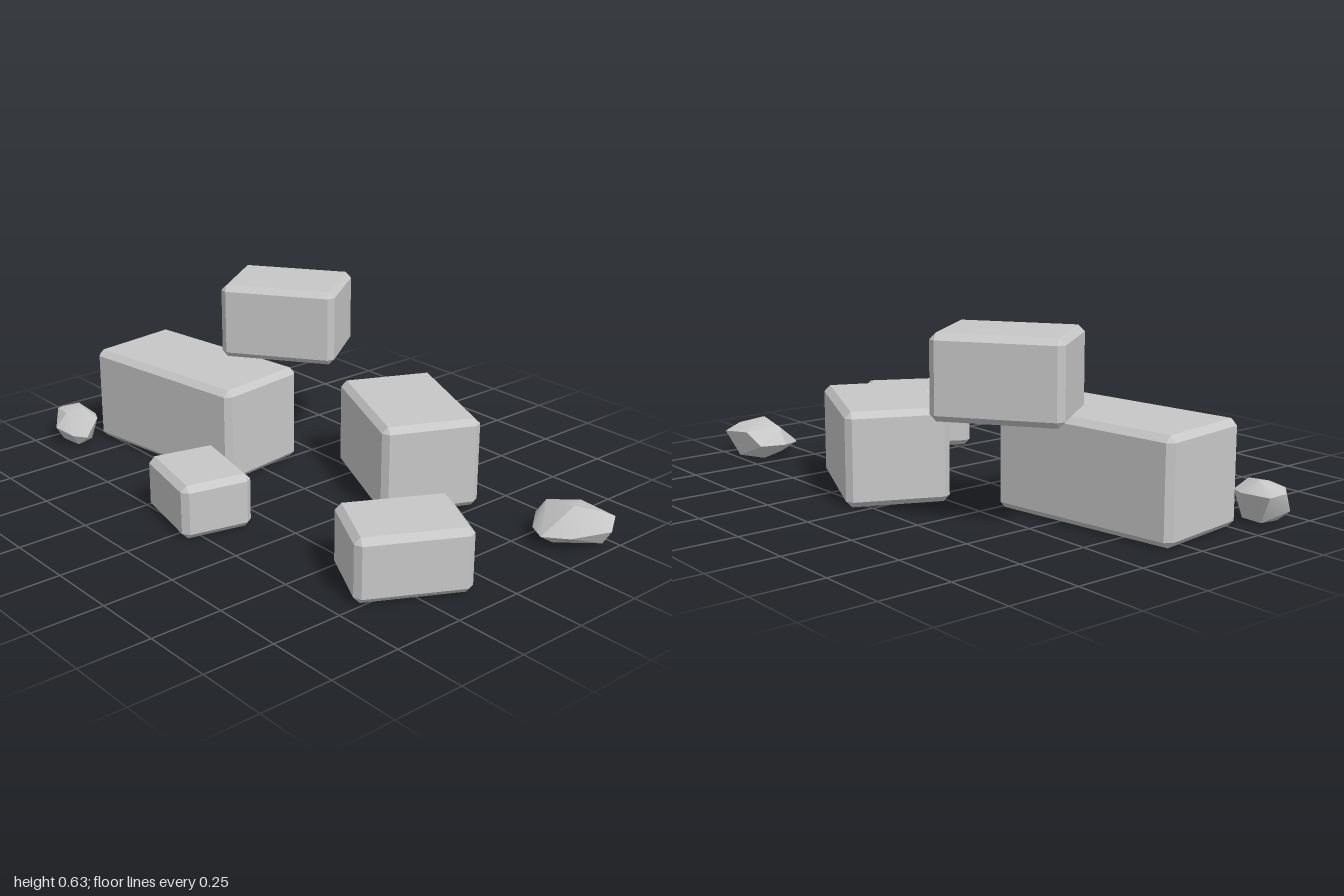
import * as THREE from 'three';
import { ConvexGeometry } from 'three/addons/geometries/ConvexGeometry.js';
import { toCreasedNormals } from 'three/addons/utils/BufferGeometryUtils.js';

const stone = new THREE.MeshStandardMaterial({ color: 0xc7c7c7 });
stone.name = 'grey stone';

const CHAMFER = 0.021;

// Box with every edge cut by a flat chamfer, standing on y = 0
function chamferedBox(w, h, d) {
  const half = [w / 2, h / 2, d / 2];
  const points = [];
  for (const sx of [-1, 1]) for (const sy of [-1, 1]) for (const sz of [-1, 1]) {
    for (let face = 0; face < 3; face++) {
      // each corner becomes three points, one on each adjoining face
      const [x, y, z] = half.map((v, axis) => (axis === face ? v : v - CHAMFER));
      points.push(new THREE.Vector3(sx * x, sy * y + h / 2, sz * z));
    }
  }
  return new ConvexGeometry(points);
}

// Faceted boulder wrapped around a few points
function boulder(points) {
  const hull = new ConvexGeometry(points.map((p) => new THREE.Vector3(...p)));
  return toCreasedNormals(hull, 0.55);
}

export function createModel() {
  const group = new THREE.Group();
  group.name = 'stoneBlocks';

  const add = (name, geometry) => {
    const mesh = new THREE.Mesh(geometry, stone);
    mesh.name = name;
    group.add(mesh);
    return mesh;
  };

  // Cut blocks: name, size, base position, turn about y
  const blocks = [
    ['largeBlock', [0.70, 0.348, 0.363], [-0.567, 0, 0.052], 0.14],
    ['stackedBlock', [0.425, 0.275, 0.314], [-0.422, 0.352, -0.273], 0.62],
    ['backBlock', [0.505, 0.322, 0.35], [0.196, 0, -0.31], -0.43],
    ['smallFrontBlock', [0.313, 0.19, 0.25], [-0.059, 0, 0.413], -0.22],
    ['sideBlock', [0.288, 0.219, 0.377], [0.704, 0, 0.198], -0.49],
  ];
  for (const [name, size, position, turn] of blocks) {
    const mesh = add(name, chamferedBox(...size));
    mesh.position.set(...position);
    mesh.rotation.y = turn;
  }

  // Loose rubble at either end
  add('frontBoulder', boulder([
    [-1.0, 0.11, 0.375], [-0.98, 0.10, 0.325], [-0.875, 0.10, 0.305], [-0.83, 0.10, 0.325],
    [-0.812, 0.04, 0.385], [-0.84, 0.05, 0.43], [-0.91, 0.07, 0.458], [-1.0, 0.05, 0.40],
    [-0.915, 0.143, 0.35], [-0.86, 0.138, 0.36], [-0.97, 0.12, 0.41], [-0.895, 0.125, 0.42],
    [-0.94, 0.005, 0.41], [-0.85, 0.005, 0.40], [-0.93, 0.005, 0.345], [-0.86, 0.01, 0.335],
  ]));
  add('backBoulder', boulder([
    [0.733, 0.06, -0.385], [0.76, 0.06, -0.475], [0.83, 0.105, -0.495], [0.965, 0.09, -0.508],
    [0.995, 0.06, -0.455], [0.93, 0.05, -0.33], [0.85, 0.045, -0.277], [0.79, 0.05, -0.305],
    [0.775, 0.12, -0.385], [0.895, 0.14, -0.38], [0.95, 0.118, -0.455],
    [0.85, 0.005, -0.34], [0.965, 0.01, -0.45], [0.80, 0.005, -0.44], [0.90, 0.005, -0.485],
  ]));

  return group;
}
